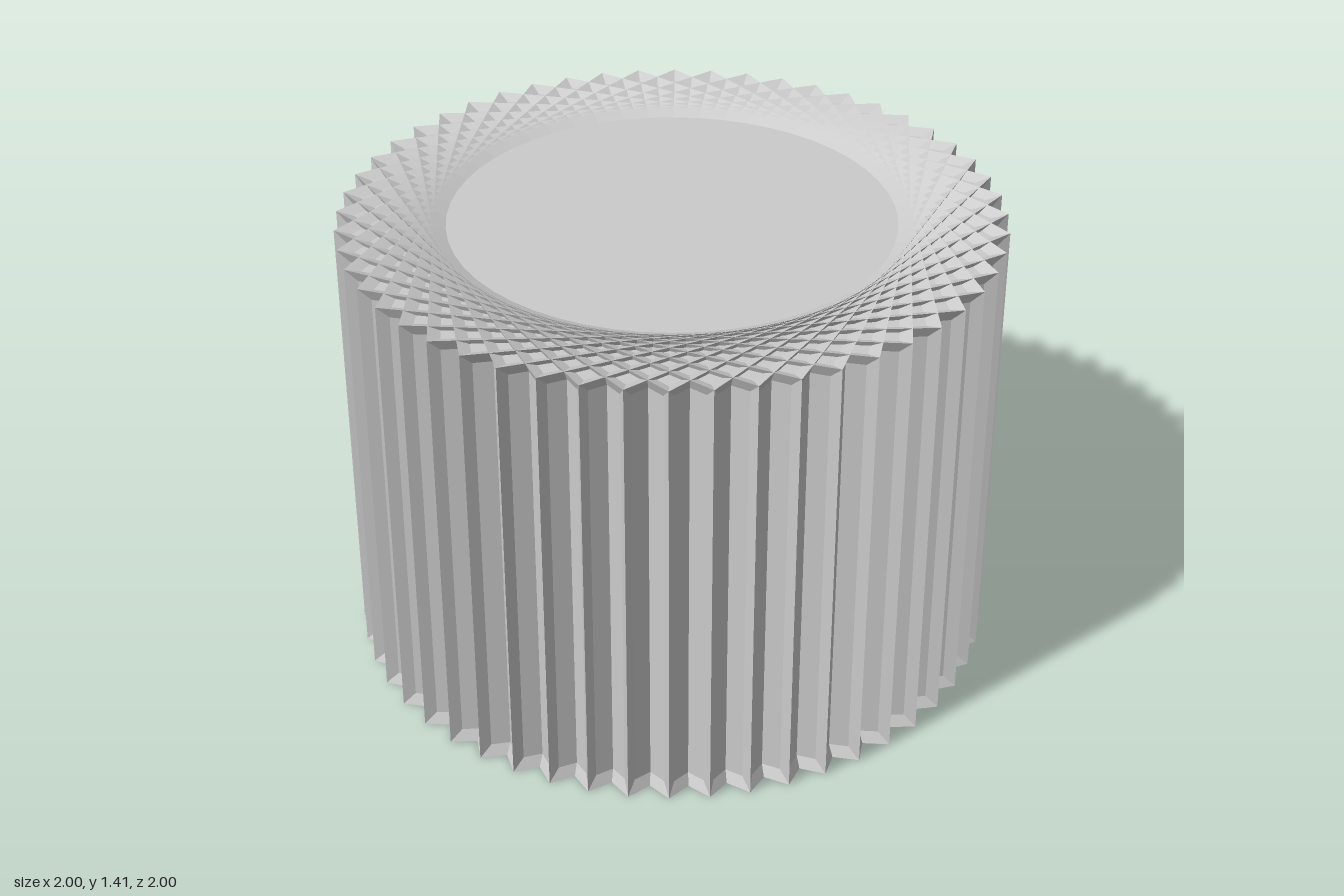
import * as THREE from 'three';
import { mergeGeometries } from 'three/addons/utils/BufferGeometryUtils.js';

const HALF = Math.SQRT1_2; // half the cube's side, so its corners reach radius 1
const INSET = 0.036;       // width of the sloping border on each face
const DEPTH = 0.015;       // how far each face panel is sunk
const COUNT = 13;          // cubes fanned over a quarter turn

// One square face looking up: sloping border down to a sunken flat panel
function panelFace() {
  const profile = [
    new THREE.Vector2(HALF * Math.SQRT2, 0),
    new THREE.Vector2((HALF - INSET) * Math.SQRT2, -DEPTH),
    new THREE.Vector2(0, -DEPTH),
  ];
  return new THREE.LatheGeometry(profile, 4, Math.PI / 4).translate(0, HALF, 0);
}

// Six faces turned into a cube with recessed panels
function panelCube() {
  const faces = [panelFace(), panelFace().rotateX(Math.PI)];
  for (let i = 0; i < 4; i++) {
    faces.push(panelFace().rotateX(Math.PI / 2).rotateY(i * Math.PI / 2));
  }
  const cube = mergeGeometries(faces).toNonIndexed();
  cube.computeVertexNormals();
  return cube;
}

export function createModel() {
  const group = new THREE.Group();
  group.name = 'fannedCubes';
  const material = new THREE.MeshStandardMaterial({ color: 0xcccccc, flatShading: true });
  const geometry = panelCube();

  // Cubes turned evenly about the upright axis
  for (let i = 0; i < COUNT; i++) {
    const cube = new THREE.Mesh(geometry, material);
    cube.name = `panelCube${i + 1}`;
    cube.position.y = HALF;
    cube.rotation.y = (i * Math.PI) / 2 / COUNT;
    group.add(cube);
  }
  return group;
}
